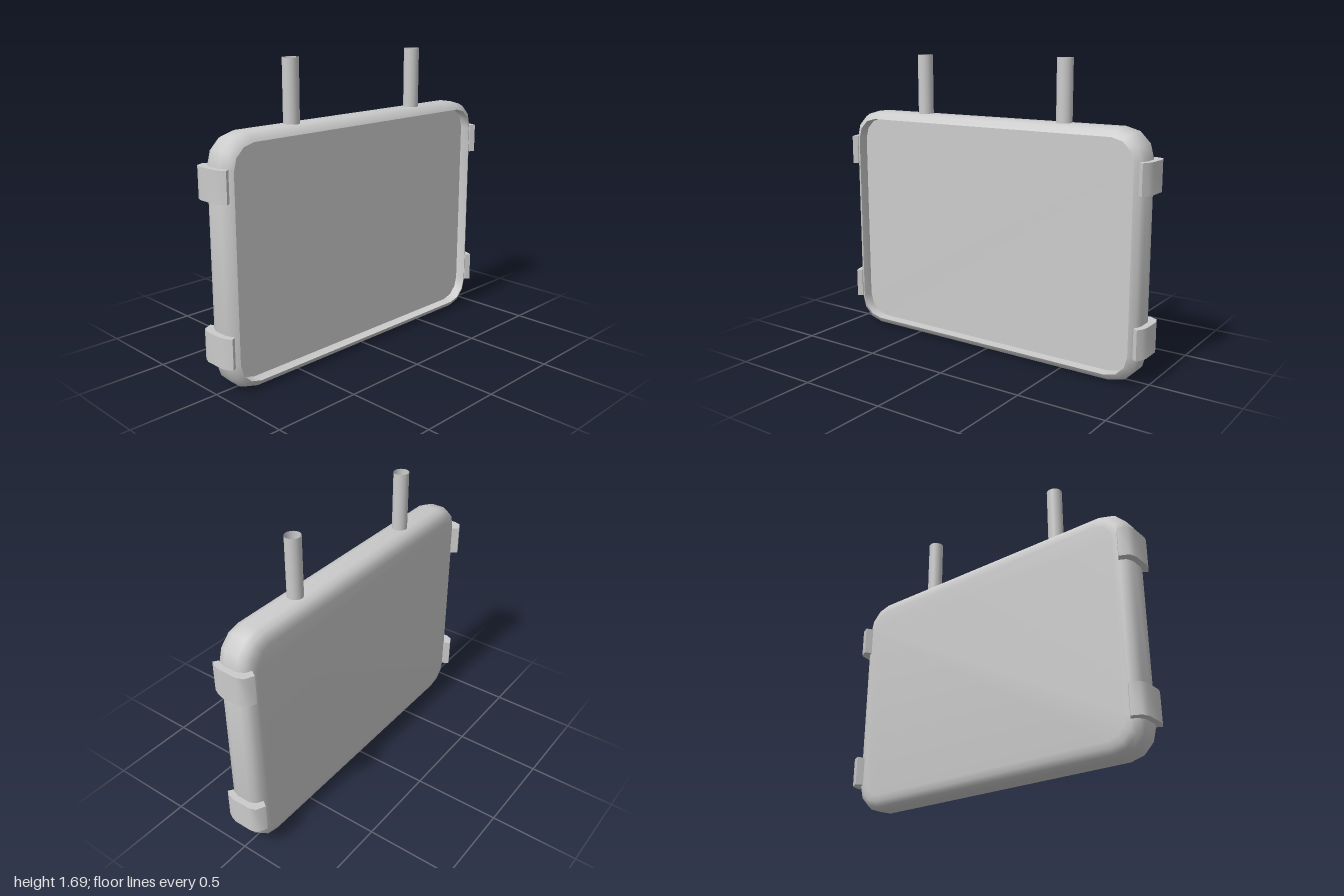
import * as THREE from 'three';
import { toCreasedNormals } from 'three/addons/utils/BufferGeometryUtils.js';

const HALF_W = 0.965, HEIGHT = 1.35;

// Rounded rectangle ring, inset from the body outline, counter-clockwise from +z
function ring(inset, z) {
  const r = 0.16 - 0.7 * inset, steps = 3, pts = [];
  const cx = HALF_W - inset - r, cy = HEIGHT / 2 - inset - r;
  [[1, 1], [-1, 1], [-1, -1], [1, -1]].forEach(([sx, sy], q) => {
    for (let i = 0; i <= steps; i++) {
      const a = (q + i / steps) * Math.PI / 2;
      pts.push(sx * cx + r * Math.cos(a), HEIGHT / 2 + sy * cy + r * Math.sin(a), z);
    }
  });
  return pts;
}

// Shell lofted from the back face round the rim and into the front recess
function bodyGeometry() {
  const profile = [[0.08, -0.088], [0.045, -0.083], [0.015, -0.065], [0, -0.03],
    [0, 0.05], [0.014, 0.09], [0.045, 0.11], [0.047, 0.05]];
  const rings = profile.map(([inset, z]) => ring(inset, z));
  const n = rings[0].length / 3, index = [];
  for (let k = 0; k < rings.length - 1; k++) {
    for (let j = 0; j < n; j++) {
      const a = k * n + j, b = k * n + (j + 1) % n;
      index.push(a, b, b + n, a, b + n, a + n);
    }
  }
  const last = (rings.length - 1) * n;
  for (let j = 1; j < n - 1; j++) {
    index.push(0, j + 1, j); // back face
    index.push(last, last + j, last + j + 1); // recess floor
  }
  const g = new THREE.BufferGeometry();
  g.setAttribute('position', new THREE.Float32BufferAttribute(rings.flat(), 3));
  g.setIndex(index);
  return toCreasedNormals(g, 0.8);
}

// Clip that hooks round a side edge; outline in x and z, extruded upwards
function clipGeometry(side) {
  const outline = [[0.945, 0.1], [0.972, 0.118], [0.99, 0.085], [1, 0.05], [1, -0.06],
    [0.985, -0.098], [0.935, -0.122], [0.912, -0.085], [0.945, -0.07], [0.96, -0.03], [0.96, 0.06]];
  const shape = new THREE.Shape(outline.map(([x, z]) => new THREE.Vector2(side * x, -z)));
  const g = new THREE.ExtrudeGeometry(shape, { depth: 0.168, bevelEnabled: false });
  g.rotateX(-Math.PI / 2);
  return toCreasedNormals(g, 0.75);
}

export function createModel() {
  const model = new THREE.Group();
  const grey = new THREE.MeshStandardMaterial({ color: 0xcccccc });
  const open = new THREE.MeshStandardMaterial({ color: 0xcccccc, side: THREE.DoubleSide });
  const add = (name, geometry, material, x = 0, y = 0, z = 0) => {
    const mesh = new THREE.Mesh(geometry, material);
    mesh.name = name;
    mesh.position.set(x, y, z);
    model.add(mesh);
  };

  add('trayBody', bodyGeometry(), grey);

  for (const side of [-1, 1]) {
    const label = side > 0 ? 'left' : 'right';
    // Hollow hanging rod, open at the top
    add(label + 'Rod', new THREE.CylinderGeometry(0.044, 0.044, 0.36, 20, 1, true), open,
      side * 0.468, 1.51, 0.013);
    // Edge clips
    const clip = clipGeometry(side);
    add(label + 'LowerClip', clip, grey, 0, 0.163, 0);
    add(label + 'UpperClip', clip, grey, 0, 1.022, 0);
  }
  return model;
}
